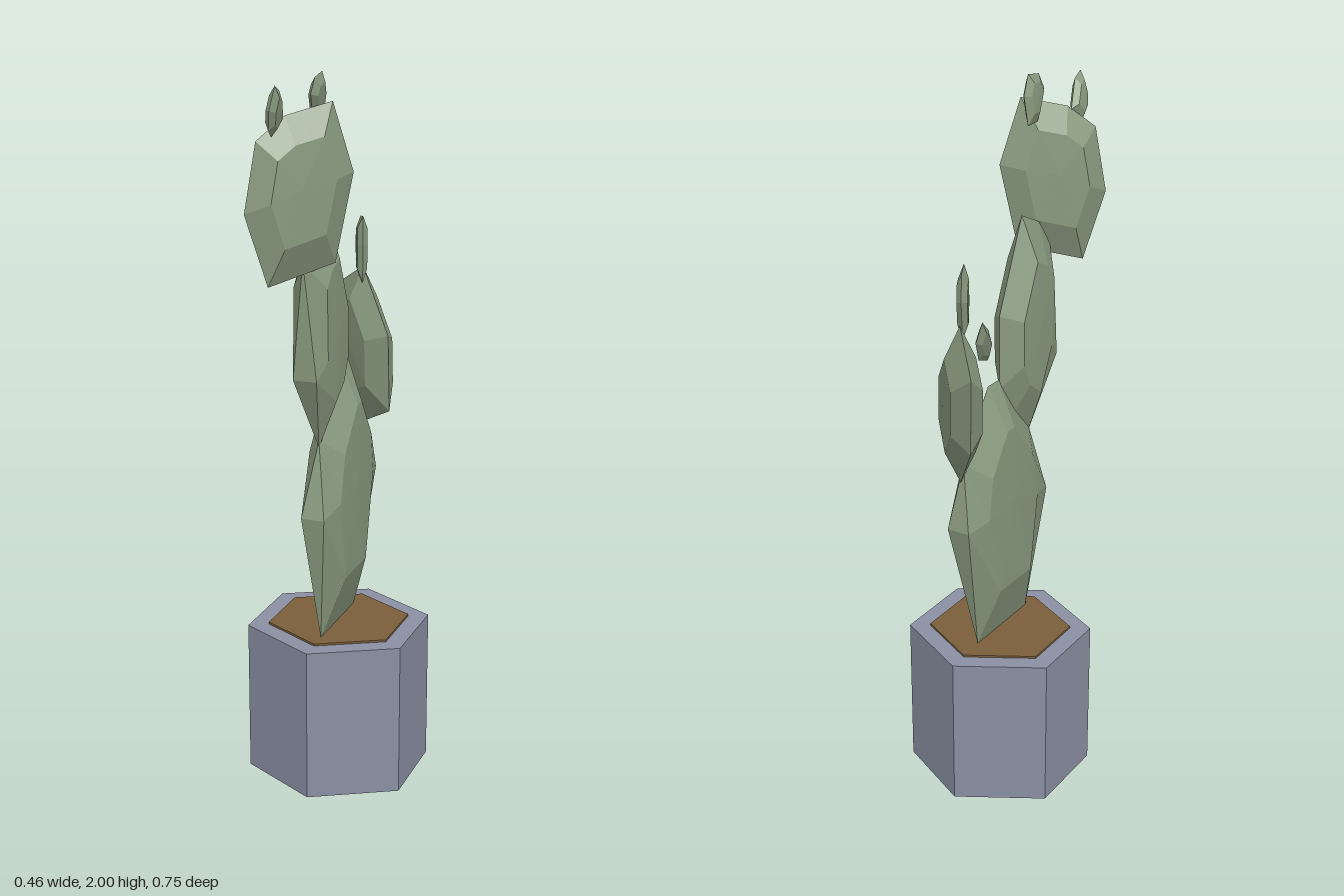
import * as THREE from 'three';

const green = new THREE.MeshStandardMaterial({ color: 0x8a9b80, flatShading: true });
const potMat = new THREE.MeshStandardMaterial({ color: 0x8a90a3, flatShading: true });
const soilMat = new THREE.MeshStandardMaterial({ color: 0x7a5f3b, flatShading: true });

// Faceted cactus pad. outline: [z, y, rim half width] counter-clockwise seen from +x.
// The pad's plane runs through x = x0 + turn * (z - z0) + lean * (y - middle).
function pad(name, outline, { x0 = 0, z0 = 0, turn = 0, lean = 0, thick = 0.045, inner = 0.6 }) {
  const n = outline.length;
  const cz = outline.reduce((s, p) => s + p[0], 0) / n;
  const cy = outline.reduce((s, p) => s + p[1], 0) / n;
  const normal = new THREE.Vector3(1, -lean, -turn).normalize();
  const at = (z, y, t) =>
    new THREE.Vector3(x0 + turn * (z - z0) + lean * (y - cy), y, z).addScaledVector(normal, t);
  const ring = (s, t) => outline.map(([z, y, w = 0]) =>
    at(cz + (z - cz) * s, cy + (y - cy) * s, t ?? w));

  // Rings from the +x face, over the rim, to the -x face
  const rings = [
    ring(inner, thick),
    ring(1),
    outline.map(([z, y, w = 0]) => at(z, y, -w)),
    ring(inner, -thick),
  ];
  const pos = [];
  const tri = (a, b, c) => {
    const area = b.clone().sub(a).cross(c.clone().sub(a)).length();
    if (area > 1e-8) for (const v of [a, b, c]) pos.push(v.x, v.y, v.z);
  };
  const front = at(cz, cy, thick * 1.1);
  const back = at(cz, cy, -thick * 1.1);
  for (let i = 0; i < n; i++) {
    const k = (i + 1) % n;
    tri(front, rings[0][i], rings[0][k]);
    for (let r = 0; r < 3; r++) {
      const A = rings[r], B = rings[r + 1];
      tri(B[i], B[k], A[k]);
      tri(B[i], A[k], A[i]);
    }
    tri(back, rings[3][k], rings[3][i]);
  }
  const geo = new THREE.BufferGeometry();
  geo.setAttribute('position', new THREE.Float32BufferAttribute(pos, 3));
  geo.computeVertexNormals();
  const mesh = new THREE.Mesh(geo, green);
  mesh.name = name;
  return mesh;
}

// Six-sided prism standing on y
function hexPrism(name, radius, y, height, material) {
  const mesh = new THREE.Mesh(new THREE.CylinderGeometry(radius, radius, height, 6), material);
  mesh.scale.x = 1.04;
  mesh.position.set(0, y + height / 2, -0.013);
  mesh.name = name;
  return mesh;
}

export function createModel() {
  const model = new THREE.Group();
  model.name = 'pottedCactus';

  // Pot and soil
  model.add(hexPrism('pot', 0.253, 0, 0.438, potMat));
  model.add(hexPrism('soil', 0.196, 0.43, 0.014, soilMat));

  // Trunk pad
  model.add(pad('trunkPad', [
    [0.13, 0.44], [-0.135, 0.445], [-0.23, 0.84, 0.033], [-0.2, 1.03],
    [-0.075, 1.21], [-0.02, 1.21], [0.14, 1.02], [0.19, 0.81, 0.033],
  ], { thick: 0.052, inner: 0.62 }));

  // Tall front branch and its turned top pad
  model.add(pad('frontBranchPad', [
    [0.14, 1.0], [0.04, 1.07], [-0.015, 1.18], [-0.015, 1.39],
    [0.1, 1.64], [0.19, 1.6], [0.25, 1.53], [0.24, 1.21, 0.033],
  ], { thick: 0.047 }));
  model.add(pad('frontTopPad', [
    [0.32, 1.47], [0.19, 1.52], [0.155, 1.75], [0.195, 1.93],
    [0.285, 1.9], [0.34, 1.84], [0.363, 1.66],
  ], { z0: 0.255, turn: -1.03, thick: 0.04 }));

  // Low back branch pad
  model.add(pad('backPad', [
    [-0.065, 1.06], [-0.21, 0.98], [-0.345, 1.14], [-0.36, 1.35],
    [-0.22, 1.43], [-0.075, 1.27],
  ], { z0: -0.213, turn: 0.87, thick: 0.042 }));

  // Small buds
  model.add(pad('frontOuterBud', [
    [0.335, 1.85], [0.29, 1.89], [0.335, 1.965], [0.37, 1.98], [0.38, 1.92], [0.362, 1.87],
  ].sort((a, b) => Math.atan2(a[1] - 1.91, 0.34 - a[0]) - Math.atan2(b[1] - 1.91, 0.34 - b[0])),
  { x0: -0.035, z0: 0.33, lean: 0.2, thick: 0.014 }));
  model.add(pad('frontInnerBud', [
    [0.2, 1.87], [0.14, 1.87], [0.13, 1.95], [0.165, 2.0], [0.23, 1.99], [0.255, 1.95],
  ], { x0: 0.018, z0: 0.19, turn: 0.1, lean: 0.1, thick: 0.013 }));
  model.add(pad('backInnerBud', [
    [-0.215, 1.39], [-0.175, 1.39], [-0.24, 1.5], [-0.225, 1.57], [-0.17, 1.58], [-0.165, 1.5],
  ].sort((a, b) => Math.atan2(a[1] - 1.48, -0.2 - a[0]) - Math.atan2(b[1] - 1.48, -0.2 - b[0])),
  { x0: -0.006, z0: -0.205, turn: 0.5, thick: 0.014 }));
  model.add(pad('backOuterBud', [
    [-0.28, 1.38], [-0.335, 1.4], [-0.375, 1.46], [-0.365, 1.515], [-0.32, 1.48], [-0.28, 1.43],
  ], { x0: -0.145, z0: -0.33, turn: 0.05, lean: -0.25, thick: 0.01 }));

  return model;
}
